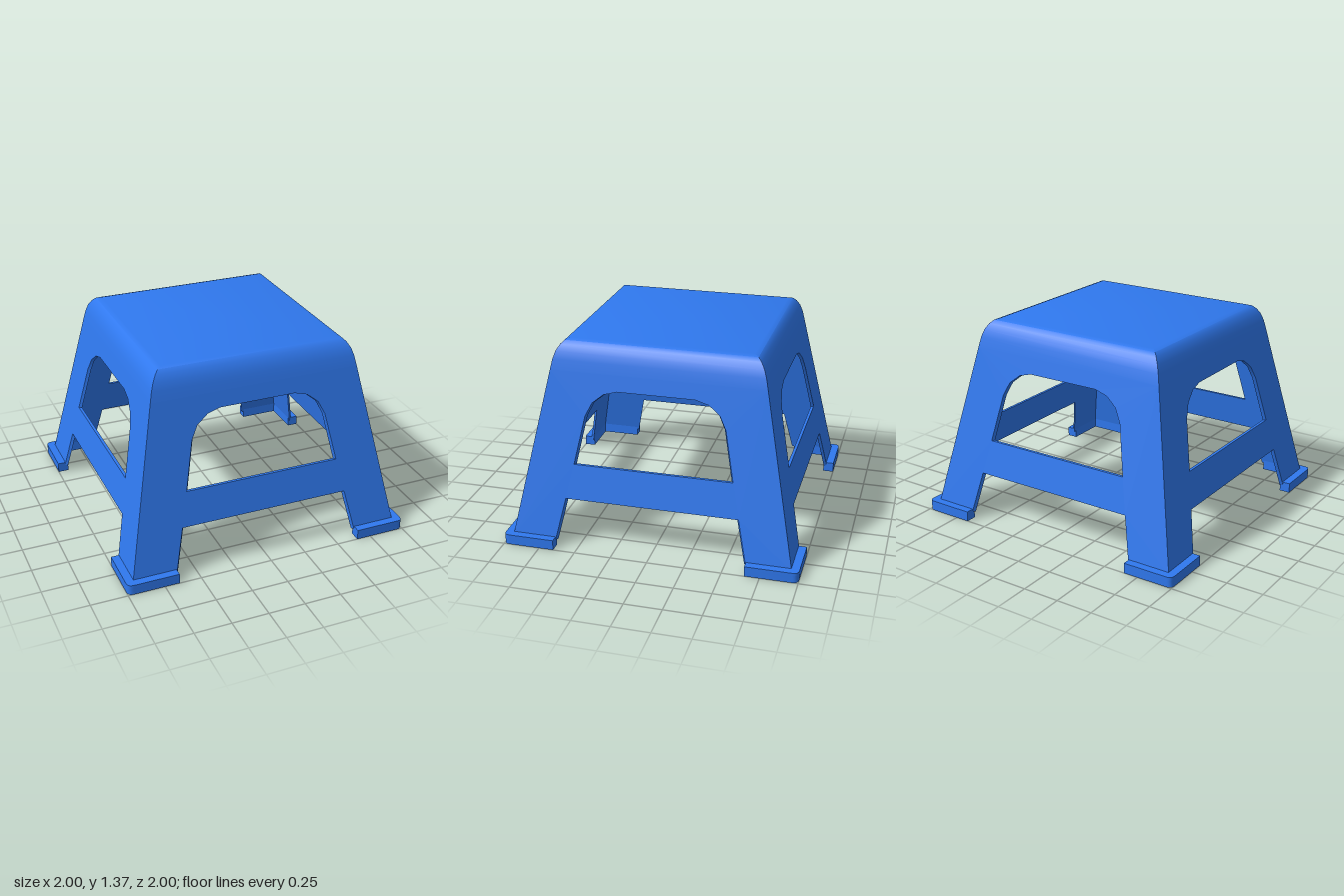
import * as THREE from 'three';
import { toCreasedNormals } from 'three/addons/utils/BufferGeometryUtils.js';

const WALL = 0.02;   // thickness of the moulded shell
const SHOULDER = 1.18; // height where the flat walls meet the rounded seat
const halfWidth = (y) => 0.72 + (SHOULDER - y) * 0.2027;

const vecs = (pairs) => pairs.map(([x, y]) => new THREE.Vector2(x, y));
const mirrored = (pairs) => [...pairs, ...pairs.map(([x, y]) => [-x, y]).reverse()];

// Hollow seat: a four-sided lathe with a rounded shoulder
function seatGeometry() {
  const outer = [[0.72, SHOULDER], [0.705, 1.25], [0.688, 1.3], [0.664, 1.34], [0.64, 1.363], [0.61, 1.373], [0, 1.373]];
  const inner = [[0, 1.353], [0.605, 1.353], [0.645, 1.33], [0.668, 1.295], [0.685, 1.25], [0.70, SHOULDER], [0.72, SHOULDER]];
  const profile = vecs([...outer, ...inner].map(([r, y]) => [r * Math.SQRT2, y]));
  const geo = new THREE.LatheGeometry(profile, 4, Math.PI / 4);
  return toCreasedNormals(geo, 0.7);
}

// One side: two half legs, a cross bar and an arched opening, leaned inwards with mitred edges
function sideGeometry() {
  const foot = 0.05;
  const shape = new THREE.Shape(vecs(mirrored([
    [0.585, 0.34], [0.649, foot], [halfWidth(foot), foot], [0.72, SHOULDER],
  ])));
  shape.holes.push(new THREE.Path(vecs(mirrored([
    [0.535, 0.575], [0.47, 0.9], [0.425, 0.99], [0.35, 1.05], [0.26, 1.075],
  ]))));
  const geo = new THREE.ExtrudeGeometry(shape, { depth: WALL, bevelEnabled: false });
  const p = geo.attributes.position;
  for (let i = 0; i < p.count; i++) {
    const hw = halfWidth(p.getY(i));
    const z = hw - WALL + p.getZ(i);
    p.setX(i, p.getX(i) * z / hw);
    p.setZ(i, z);
  }
  return toCreasedNormals(geo, 0.5);
}

// L-shaped outline of a foot in plan, with a rounded outer corner
function footOutline(Kind, inset) {
  const end = 0.65 + inset, out = 1 - inset, inn = 0.925 + inset;
  const s = new Kind();
  s.moveTo(end, inn);
  s.lineTo(inn, inn);
  s.lineTo(inn, end);
  s.lineTo(out, end);
  s.lineTo(out, out - 0.04);
  s.quadraticCurveTo(out, out, out - 0.04, out);
  s.lineTo(end, out);
  s.closePath();
  return s;
}

// Lays a plan shape flat with its top face at the given height
function slab(shape, top, depth) {
  const geo = new THREE.ExtrudeGeometry(shape, { depth, bevelEnabled: false, curveSegments: 5 });
  geo.rotateX(Math.PI / 2).translate(0, top, 0);
  return toCreasedNormals(geo, 0.5);
}

export function createModel() {
  const stool = new THREE.Group();
  stool.name = 'stepStool';
  const plastic = new THREE.MeshStandardMaterial({ color: 0x2f78ee });

  const add = (parent, geo, name) => {
    const mesh = new THREE.Mesh(geo, plastic);
    mesh.name = name;
    parent.add(mesh);
  };

  add(stool, seatGeometry(), 'seat');

  const side = sideGeometry();
  const flange = slab(footOutline(THREE.Shape, 0), 0.07, 0.02);
  const rimShape = footOutline(THREE.Shape, 0);
  rimShape.holes.push(footOutline(THREE.Path, 0.017));
  const rim = slab(rimShape, 0.05, 0.05);

  // Four identical sides and corner feet around the seat
  ['front', 'left', 'back', 'right'].forEach((label, i) => {
    const quarter = new THREE.Group();
    quarter.name = label + 'Quarter';
    quarter.rotation.y = i * Math.PI / 2;
    add(quarter, side, label + 'Side');
    add(quarter, flange, label + 'FootFlange');
    add(quarter, rim, label + 'FootRim');
    stool.add(quarter);
  });
  return stool;
}
